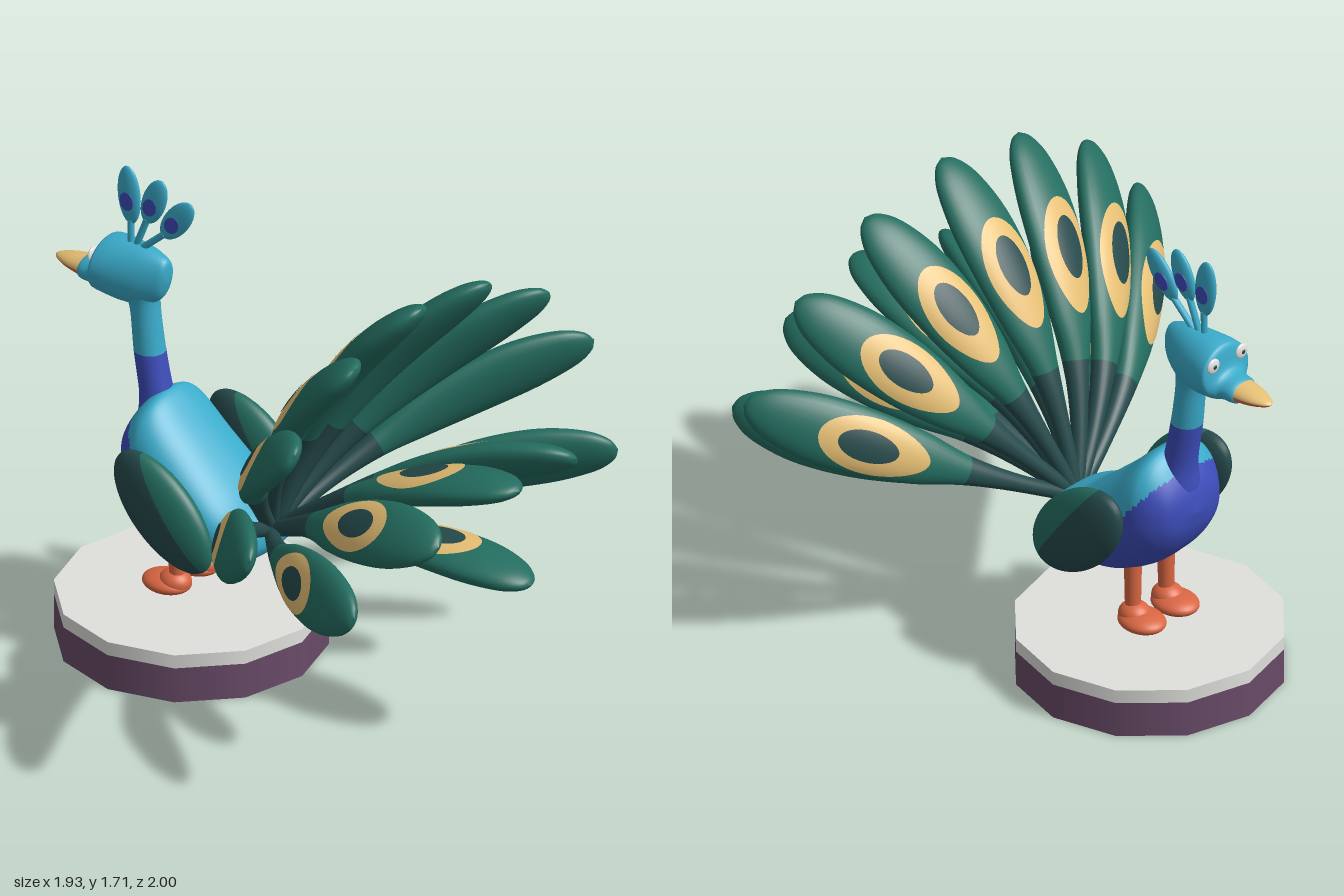
import * as THREE from 'three';

const paint = (name, color) => Object.assign(new THREE.MeshStandardMaterial({ color }), { name });
const V = (x, y, z) => new THREE.Vector3(x, y, z);

// Grid surface; closed in v. pick(u, centre) chooses the material index of each face.
function surface(nu, nv, fn, pick = () => 0) {
  const pos = [], lists = [[], []];
  for (let i = 0; i <= nu; i++)
    for (let j = 0; j < nv; j++) pos.push(...fn(i / nu, (j / nv) * Math.PI * 2).toArray());
  const at = (k) => V(pos[k * 3], pos[k * 3 + 1], pos[k * 3 + 2]);
  for (let i = 0; i < nu; i++)
    for (let j = 0; j < nv; j++) {
      const a = i * nv + j, d = i * nv + (j + 1) % nv, b = a + nv, c = d + nv;
      const mid = at(a).add(at(b)).add(at(c)).add(at(d)).multiplyScalar(0.25);
      lists[pick((i + 0.5) / nu, mid)].push(a, b, c, a, c, d);
    }
  const g = new THREE.BufferGeometry();
  g.setAttribute('position', new THREE.Float32BufferAttribute(pos, 3));
  g.setIndex([...lists[0], ...lists[1]]);
  g.addGroup(0, lists[0].length, 0);
  g.addGroup(lists[0].length, lists[1].length, 1);
  g.computeVertexNormals();
  return g;
}

const spline = (pts) => new THREE.CatmullRomCurve3(pts.map((p) => V(...p)), false, 'catmullrom');
const power = (v, e) => Math.sign(v) * Math.abs(v) ** e;

// Loft towards -z through rows of [z, top, bottom, halfWidth]; e below 1 squares the section
function loft(rows, nu, nv, e, pick) {
  const heights = spline(rows.map((r) => r.slice(0, 3)));
  const widths = spline(rows.map((r) => [r[0], r[3], 0]));
  return surface(nu, nv, (u, a) => {
    const h = heights.getPoint(u), w = Math.max(0, widths.getPoint(u).y);
    return V(w * power(Math.cos(a), e), (h.y + h.z) / 2 + ((h.y - h.z) / 2) * power(Math.sin(a), e), h.x);
  }, pick);
}

export function createModel() {
  const teal = paint('teal plumage', 0x3aabca), blue = paint('blue plumage', 0x3d4dba);
  const green = paint('green feather', 0x246d60), dark = paint('dark feather', 0x264a4c);
  const gold = paint('gold', 0xe6bf74), orange = paint('orange', 0xd96642);
  const grey = paint('pale grey', 0xe0e0dd), purple = paint('plum', 0x694b68);

  const model = new THREE.Group();
  const add = (name, geo, mat, p = [0, 0, 0], s = [1, 1, 1], parent = model) => {
    const m = new THREE.Mesh(geo, mat);
    m.name = name;
    m.position.set(...p);
    m.scale.set(...s);
    parent.add(m);
    return m;
  };
  const rod = (name, a, b, r, mat) => {
    const m = add(name, new THREE.CylinderGeometry(r, r, a.distanceTo(b), 12), mat);
    m.position.copy(a).lerp(b, 0.5);
    m.quaternion.setFromUnitVectors(V(0, 1, 0), b.clone().sub(a).normalize());
  };
  const ball = new THREE.SphereGeometry(1, 32, 20);

  // Twelve-sided plinth
  add('plinth', new THREE.CylinderGeometry(0.465, 0.465, 0.13, 12), purple, [0, 0.065, -0.43]);
  add('plinthTop', new THREE.CylinderGeometry(0.465, 0.465, 0.05, 12), grey, [0, 0.155, -0.43]);

  // Body: teal back, blue breast and belly
  add('body', loft([
    [-0.065, 0.51, 0.51, 0], [-0.075, 0.555, 0.47, 0.12], [-0.11, 0.585, 0.43, 0.17],
    [-0.2, 0.635, 0.39, 0.2], [-0.3, 0.72, 0.375, 0.207], [-0.4, 0.81, 0.395, 0.207],
    [-0.5, 0.905, 0.45, 0.2], [-0.55, 0.905, 0.495, 0.19], [-0.6, 0.85, 0.55, 0.16],
    [-0.637, 0.78, 0.62, 0.11], [-0.655, 0.7, 0.7, 0],
  ], 80, 80, 0.85, (u, p) => (p.y < 0.81 - 1.3 * (p.z + 0.58) ? 1 : 0)), [teal, blue]);

  // Neck: rings of [y, z, radius]
  const neck = spline([[0.78, -0.56, 0.08], [0.88, -0.575, 0.06], [1.04, -0.605, 0.055],
    [1.2, -0.625, 0.053], [1.27, -0.64, 0.068], [1.33, -0.65, 0.075]]);
  add('neck', surface(40, 32, (u, a) => {
    const n = neck.getPoint(u);
    return V(n.z * Math.cos(a), n.x, n.y + n.z * Math.sin(a));
  }, (u, p) => (p.y < 1.04 ? 1 : 0)), [teal, blue]);

  // Head and beak
  add('head', loft([
    [-0.525, 1.36, 1.36, 0], [-0.53, 1.395, 1.31, 0.028], [-0.555, 1.412, 1.25, 0.05],
    [-0.62, 1.427, 1.21, 0.078], [-0.7, 1.43, 1.205, 0.099], [-0.76, 1.425, 1.215, 0.109],
    [-0.785, 1.41, 1.22, 0.108], [-0.8, 1.345, 1.225, 0.085], [-0.82, 1.325, 1.228, 0.066],
    [-0.87, 1.31, 1.235, 0.056], [-0.875, 1.273, 1.273, 0],
  ], 60, 36, 1), teal);
  add('beak', loft([[-0.862, 1.312, 1.238, 0.056], [-0.93, 1.3, 1.25, 0.044],
    [-0.98, 1.287, 1.263, 0.022], [-1, 1.275, 1.275, 0]],
  20, 32, 1, (u, p) => (p.y < 1.275 ? 1 : 0)), [gold, orange]);

  // Crest plumes: [base z, leaf z, leaf y, tilt, half length]
  for (const [bz, z, y, tilt, half] of [
    [-0.645, -0.49, 1.57, 0.66, 0.1], [-0.665, -0.587, 1.61, 0.37, 0.095], [-0.685, -0.692, 1.602, -0.08, 0.108],
  ]) {
    const plume = new THREE.Group();
    plume.name = 'crestPlume';
    plume.position.set(0, y, z);
    plume.rotation.x = tilt;
    model.add(plume);
    add('crestLeaf', ball, teal, [0, 0, 0], [0.019, half, 0.046], plume);
    const spot = add('crestSpot', new THREE.CylinderGeometry(1, 1, 0.04, 24), blue, [0, -0.018, 0], [0.034, 1, 0.027], plume);
    spot.rotation.z = Math.PI / 2;
    const end = V(0, y - 0.85 * half * Math.cos(tilt), z - 0.85 * half * Math.sin(tilt));
    rod('crestStalk', V(0, 1.41, bz), end, 0.012, teal);
  }

  // Paired parts
  for (const s of [-1, 1]) {
    add('eye', ball, grey, [s * 0.068, 1.37, -0.793], [0.028, 0.028, 0.01]);
    add('pupil', ball, dark, [s * 0.068, 1.37, -0.801], [0.009, 0.009, 0.004]);
    add('leg', new THREE.CylinderGeometry(0.031, 0.026, 0.24, 20), orange, [s * 0.08, 0.33, -0.43]);
    add('ankle', ball, orange, [s * 0.08, 0.243, -0.438], [0.054, 0.044, 0.058]);
    add('foot', ball, orange, [s * 0.08, 0.23, -0.472], [0.074, 0.034, 0.09]);
    // Wing split by a slanted plane: green behind, dark in front
    const wing = new THREE.Group();
    wing.name = 'wing';
    wing.position.set(s * 0.262, 0.617, -0.35);
    wing.rotation.x = 0.75;
    wing.scale.set(0.063, 0.137, 0.245);
    model.add(wing);
    const split = 1.28;
    add('wingBack', new THREE.SphereGeometry(1, 40, 14, 0, Math.PI * 2, 0, split).rotateX(0.33), green, [0, 0, 0], [1, 1, 1], wing);
    add('wingFront', new THREE.SphereGeometry(1, 40, 18, 0, Math.PI * 2, split, Math.PI - split).rotateX(0.33), dark, [0, 0, 0], [1, 1, 1], wing);
  }

  // Tail feather outline: [distance along, half width, half thickness]
  const outline = spline([[0, 0.024, 0.024], [0.2, 0.03, 0.03], [0.36, 0.052, 0.042], [0.5, 0.092, 0.05],
    [0.65, 0.117, 0.056], [0.8, 0.119, 0.056], [0.92, 0.09, 0.043], [0.98, 0.047, 0.023], [1, 0, 0]]);

  // One feather bending back from the root, fanned about z by its angle
  function feather(angle, rise, back, bend) {
    const len = Math.hypot(rise, back);
    const path = new THREE.QuadraticBezierCurve3(V(0, 0, 0),
      V(0, rise / 2 + (bend * back) / len, back / 2 - (bend * rise) / len), V(0, rise, back));
    // x across the blade, lift along its face normal
    const place = (u, x, lift) => {
      const o = outline.getPoint(u), t = path.getTangent(Math.min(1, o.x));
      return path.getPoint(Math.min(1, o.x)).add(V(x * o.y, t.z * lift(o.z), -t.y * lift(o.z)));
    };
    const patch = (mid, half, width, gap) => surface(10, 40, (r, a) => {
      const x = width * r * Math.sin(a);
      return place(mid + half * r * Math.cos(a), x, (h) => h * Math.sqrt(1 - x * x) + gap);
    });
    const f = new THREE.Group();
    f.name = 'tailFeather';
    f.position.set(0, 0.52, -0.09);
    f.rotation.z = -THREE.MathUtils.degToRad(angle);
    model.add(f);
    add('blade', surface(48, 28, (u, a) => place(u, -Math.cos(a), (h) => h * Math.sin(a)),
      (u) => (u < 0.25 ? 1 : 0)), [green, dark], [0, 0, 0], [1, 1, 1], f);
    add('eyespot', patch(0.492, 0.132, 0.84, 0.003), gold, [0, 0, 0], [1, 1, 1], f);
    add('eyespotCentre', patch(0.508, 0.07, 0.46, 0.006), dark, [0, 0, 0], [1, 1, 1], f);
  }
  // Upper fan
  feather(0, 1.06, 0.63, 0.2);
  for (const s of [-1, 1]) {
    feather(s * 20.5, 1.06, 0.63, 0.2);
    feather(s * 41, 1.075, 0.63, 0.2);
    feather(s * 61.5, 1.085, 0.63, 0.2);
  }
  // Lower fan
  feather(0, 0.5, 1.04, 0.15);
  for (const s of [-1, 1]) {
    feather(s * 41, 0.58, 0.99, 0.15);
    feather(s * 68.5, 0.785, 0.9, 0.15);
  }
  feather(0, 0.155, 1.09, 0.14);

  return model;
}
